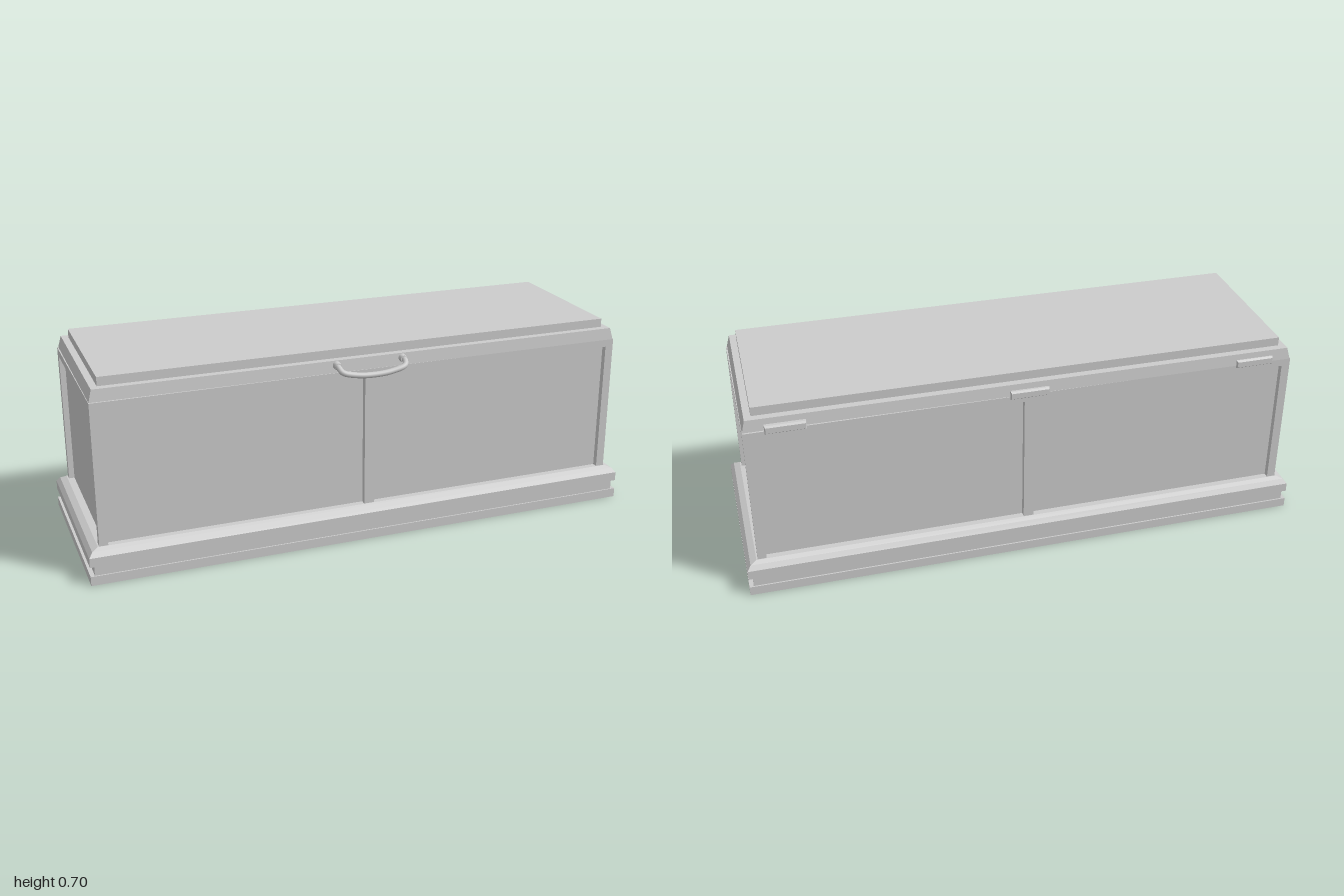
import * as THREE from 'three';

const material = new THREE.MeshStandardMaterial({ color: 0xcccccc });
const CZ = -0.0125; // the chest sits slightly back to leave room for the handle

function add(parent, name, geometry, x = 0, y = 0, z = 0) {
  const mesh = new THREE.Mesh(geometry, material);
  mesh.name = name;
  mesh.position.set(x, y, z);
  parent.add(mesh);
  return mesh;
}

// Box given by its size and the height of its underside
function slab(parent, name, w, y0, y1, d, x = 0, z = 0) {
  return add(parent, name, new THREE.BoxGeometry(w, y1 - y0, d), x, (y0 + y1) / 2, z);
}

// Stacked rectangles [halfWidth, y, halfDepth], closed at both ends
function rectLoft(rings) {
  const corner = ([w, y, d], i) => [[w, y, d], [w, y, -d], [-w, y, -d], [-w, y, d]][i % 4];
  const pos = [];
  const quad = (a, b, c, d) => pos.push(...a, ...b, ...c, ...a, ...c, ...d);
  for (let r = 0; r < rings.length - 1; r++) {
    for (let i = 0; i < 4; i++) {
      quad(corner(rings[r], i), corner(rings[r], i + 1), corner(rings[r + 1], i + 1), corner(rings[r + 1], i));
    }
  }
  const top = rings[rings.length - 1];
  quad(...[0, 1, 2, 3].map(i => corner(top, i)));
  quad(...[3, 2, 1, 0].map(i => corner(rings[0], i)));
  const geometry = new THREE.BufferGeometry();
  geometry.setAttribute('position', new THREE.Float32BufferAttribute(pos, 3));
  geometry.computeVertexNormals();
  return geometry;
}

export function createModel() {
  const model = new THREE.Group();
  model.name = 'chest';
  const chest = new THREE.Group();
  chest.name = 'chestBody';
  chest.position.z = CZ;
  model.add(chest);

  // Plinth with a groove and a rounded shoulder
  add(chest, 'plinth', rectLoft([
    [1, 0, 0.339], [1, 0.033, 0.339],
    [0.985, 0.033, 0.334], [0.985, 0.067, 0.334],
    [1, 0.067, 0.339], [1, 0.1, 0.339],
    [0.987, 0.116, 0.326], [0.965, 0.125, 0.312],
  ]));

  // Recessed panels framed by posts and a top rail
  slab(chest, 'panels', 1.88, 0.12, 0.61, 0.58);
  slab(chest, 'topRail', 1.92, 0.6, 0.627, 0.62);
  for (const sz of [1, -1]) {
    for (const sx of [1, -1]) {
      slab(chest, 'cornerPost', 0.03, 0.12, 0.6, 0.026, sx * 0.945, sz * 0.297);
    }
    slab(chest, 'middlePost', 0.036, 0.12, 0.6, 0.026, 0, sz * 0.297);
  }

  // Lid, very slightly askew
  const lid = new THREE.Group();
  lid.name = 'lid';
  lid.rotation.y = -0.005;
  chest.add(lid);
  add(lid, 'lidRim', rectLoft([[0.957, 0.627, 0.308], [0.946, 0.669, 0.303]]));
  slab(lid, 'lidTop', 1.845, 0.66, 0.7, 0.555);

  // Hinges on the back
  for (const x of [-0.82, 0, 0.82]) {
    const hinge = add(chest, 'hinge', rectLoft([[0.068, 0, 0.015], [0.068, 0.013, 0.015], [0.065, 0.02, 0.01]]),
      x, 0.633, -0.3);
    hinge.rotation.x = -Math.PI / 2;
  }

  // Drooping handle on the front
  const half = [[0.12, 0.652, 0.29], [0.121, 0.65, 0.315], [0.113, 0.638, 0.333], [0.06, 0.625, 0.34]];
  const points = [
    ...half.map(([x, y, z]) => new THREE.Vector3(-x, y, z)),
    new THREE.Vector3(0, 0.621, 0.341),
    ...half.slice().reverse().map(p => new THREE.Vector3(...p)),
  ];
  add(model, 'handle', new THREE.TubeGeometry(new THREE.CatmullRomCurve3(points), 48, 0.01, 10));
  for (const sx of [1, -1]) {
    const mount = add(model, 'handleMount', new THREE.CylinderGeometry(0.012, 0.015, 0.02, 12), sx * 0.12, 0.652, 0.299);
    mount.rotation.x = Math.PI / 2;
  }
  return model;
}
